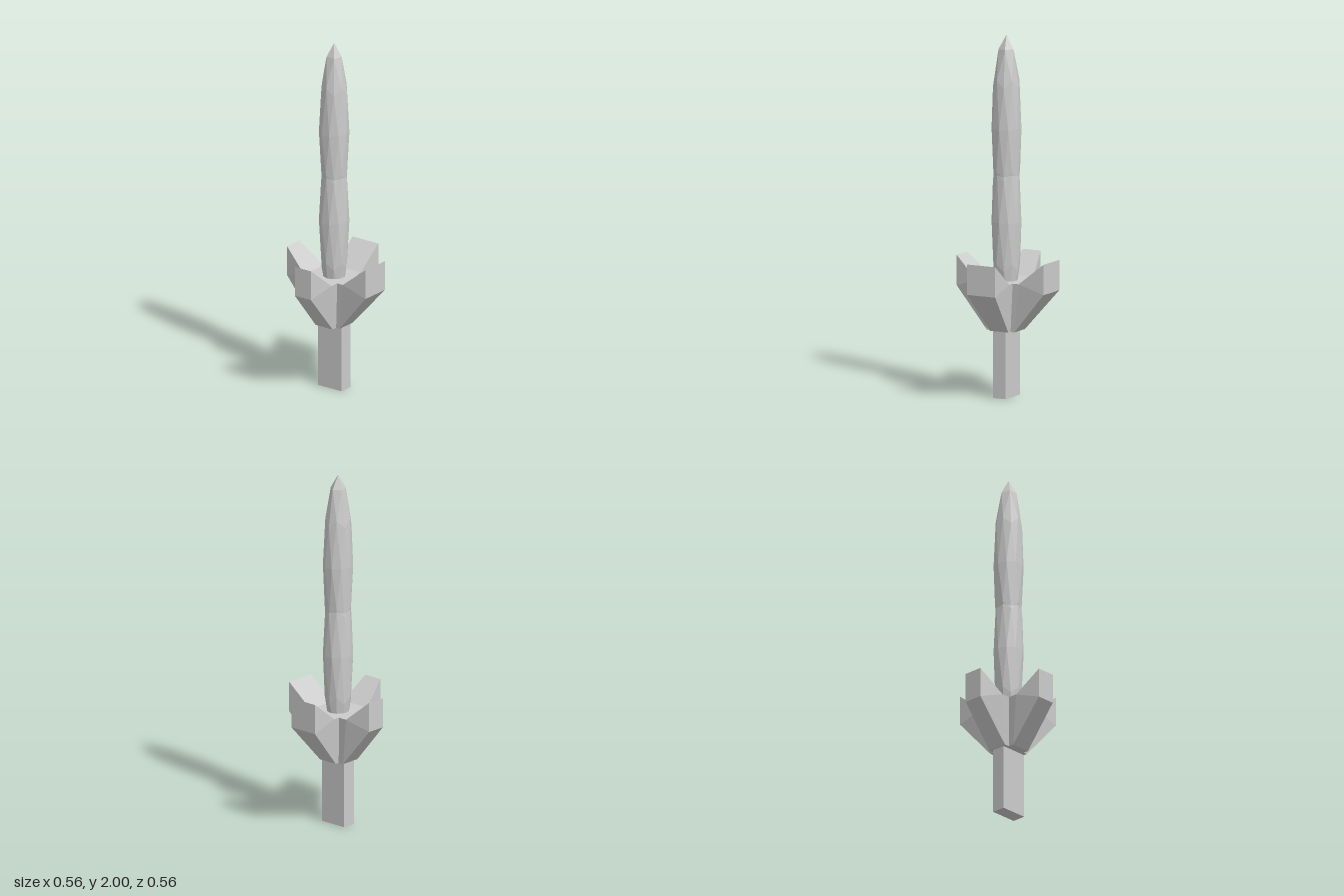
import * as THREE from 'three';

const material = new THREE.MeshStandardMaterial({ color: 0xcccccc, flatShading: true });

function addMesh(parent, name, geometry) {
  const mesh = new THREE.Mesh(geometry, material);
  mesh.name = name;
  parent.add(mesh);
  return mesh;
}

// Solid between two mirrored side walls; each profile point is [outward z, y, half width].
// The first point is the inner notch, from which the side walls are fanned.
function armGeometry(profile) {
  const n = profile.length;
  const corner = (i, side) => [side * profile[i % n][2], profile[i % n][1], profile[i % n][0]];
  const positions = [];
  const tri = (a, b, c) => positions.push(...a, ...b, ...c);
  for (let i = 1; i < n - 1; i++) {
    tri(corner(0, 1), corner(i, 1), corner(i + 1, 1));
    tri(corner(0, -1), corner(i + 1, -1), corner(i, -1));
  }
  for (let i = 0; i < n; i++) {
    tri(corner(i + 1, 1), corner(i, 1), corner(i, -1));
    tri(corner(i + 1, 1), corner(i, -1), corner(i + 1, -1));
  }
  const geometry = new THREE.BufferGeometry();
  geometry.setAttribute('position', new THREE.Float32BufferAttribute(positions, 3));
  geometry.computeVertexNormals();
  return geometry;
}

export function createModel() {
  const model = new THREE.Group();
  model.name = 'sword';

  // Handle
  const handle = addMesh(model, 'handle', new THREE.BoxGeometry(0.078, 0.4, 0.162));
  handle.position.y = 0.2;

  // Guard: tapered core with four upswept arms
  const guard = new THREE.Group();
  guard.name = 'guard';
  model.add(guard);
  const top = 0.645, bottom = 0.37;
  const core = new THREE.CylinderGeometry(0.088 * Math.SQRT2, 0.058 * Math.SQRT2, top - bottom, 4);
  core.rotateY(Math.PI / 4);
  addMesh(guard, 'guardCore', core).position.y = (top + bottom) / 2;

  const arm = (notch, tipWidth, foot) => armGeometry([
    [notch, top, 0.088],
    [0.28, 0.766, tipWidth],
    [0.28, 0.598, tipWidth],
    [foot, bottom, 0.058],
    [0.058, bottom, 0.058],
    [0.088, top, 0.088],
  ]);
  const wideArm = arm(0.126, 0.088, 0.082);
  const narrowArm = arm(0.14, 0.055, 0.09);
  ['frontArm', 'leftArm', 'backArm', 'rightArm'].forEach((name, i) => {
    addMesh(guard, name, i < 2 ? wideArm : narrowArm).rotation.y = i * Math.PI / 2;
  });

  // Blade: two stretched faceted spheres, each with a corner at the pole
  const bead = new THREE.IcosahedronGeometry(1, 1);
  bead.rotateX(-Math.atan((1 + Math.sqrt(5)) / 2));
  bead.rotateY(Math.PI / 2);
  bead.scale(0.083, 0.517, 0.083);
  addMesh(model, 'lowerBlade', bead).position.y = 0.97;
  addMesh(model, 'upperBlade', bead).position.y = 1.483;

  return model;
}
